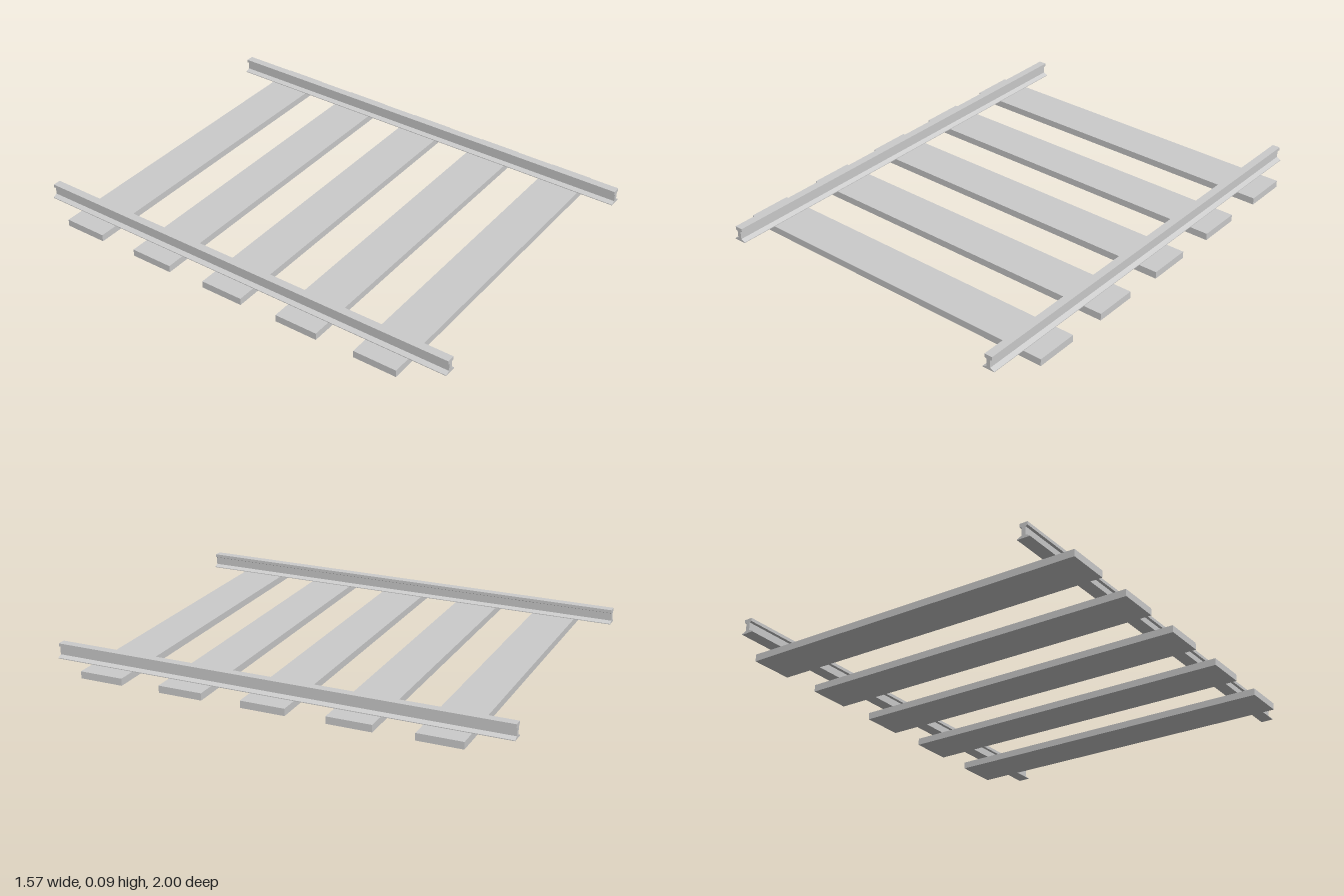
import * as THREE from 'three';

const material = new THREE.MeshStandardMaterial({ color: 0xcccccc, flatShading: true });

// Half of the rail section, from foot to head: [half width, height]
const HALF_SECTION = [
  [0.028, 0.031], [0.028, 0.034], [0.009, 0.043],
  [0.009, 0.077], [0.018, 0.081], [0.018, 0.095],
];

function makeRail(name, x) {
  const right = HALF_SECTION.map(([w, y]) => new THREE.Vector2(w, y));
  const left = HALF_SECTION.map(([w, y]) => new THREE.Vector2(-w, y)).reverse();
  const geometry = new THREE.ExtrudeGeometry(new THREE.Shape([...right, ...left]), {
    depth: 2, bevelEnabled: false,
  });
  geometry.translate(x, 0, -1);
  const rail = new THREE.Mesh(geometry, material);
  rail.name = name;
  return rail;
}

export function createModel() {
  const track = new THREE.Group();
  track.name = 'railwayTrack';

  // Two rails running along z
  track.add(makeRail('leftRail', 0.675), makeRail('rightRail', -0.675));

  // Five flat sleepers across the track
  const sleeperGeometry = new THREE.BoxGeometry(1.57, 0.031, 0.194);
  for (let i = 0; i < 5; i++) {
    const sleeper = new THREE.Mesh(sleeperGeometry, material);
    sleeper.name = `sleeper${i + 1}`;
    sleeper.position.set(0, 0.0155, (i - 2) * 0.368);
    track.add(sleeper);
  }
  return track;
}
